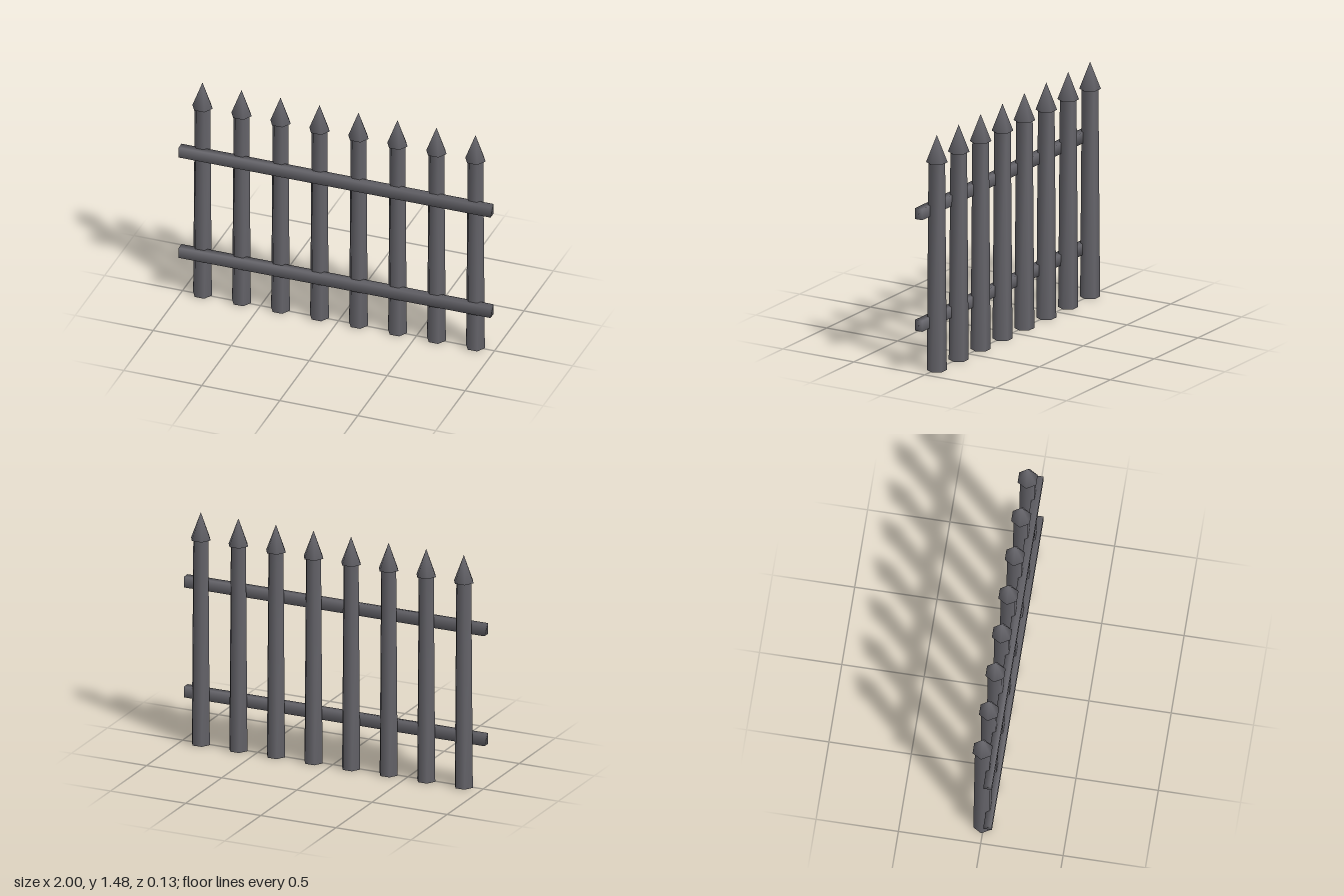
import * as THREE from 'three';
import { mergeVertices } from 'three/addons/utils/BufferGeometryUtils.js';

// Weld all corners so shading rolls smoothly over the low-poly edges
function soften(geometry) {
  geometry.deleteAttribute('uv');
  geometry.deleteAttribute('normal');
  const welded = mergeVertices(geometry, 1e-4);
  welded.computeVertexNormals();
  return welded;
}

// Six-sided tapered prism standing on y0, with corners pointing along x
function hexPrism(topRadius, bottomRadius, y0, y1) {
  const g = new THREE.CylinderGeometry(topRadius, bottomRadius, y1 - y0, 6);
  g.rotateY(Math.PI / 2);
  g.translate(0, (y0 + y1) / 2, 0);
  return soften(g);
}

export function createModel() {
  const fence = new THREE.Group();
  fence.name = 'fence';
  const iron = new THREE.MeshStandardMaterial({ color: 0x65646a });
  iron.name = 'dark iron';

  const add = (parent, geometry, name) => {
    const mesh = new THREE.Mesh(geometry, iron);
    mesh.name = name;
    parent.add(mesh);
    return mesh;
  };

  // Eight pickets: tapered shaft with a spear head
  const shaft = hexPrism(0.05, 0.06, 0, 1.305);
  const head = hexPrism(0, 0.065, 1.305, 1.475);
  for (let i = 0; i < 8; i++) {
    const picket = new THREE.Group();
    picket.name = 'picket';
    picket.position.set(-0.875 + i * 0.25, 0, -0.008);
    add(picket, shaft, 'picketShaft');
    add(picket, head, 'spearHead');
    fence.add(picket);
  }

  // Two rails across the front
  const rail = soften(new THREE.BoxGeometry(2, 0.068, 0.05));
  add(fence, rail, 'lowerRail').position.set(0, 0.301, 0.043);
  add(fence, rail, 'upperRail').position.set(0, 1.002, 0.043);

  return fence;
}
